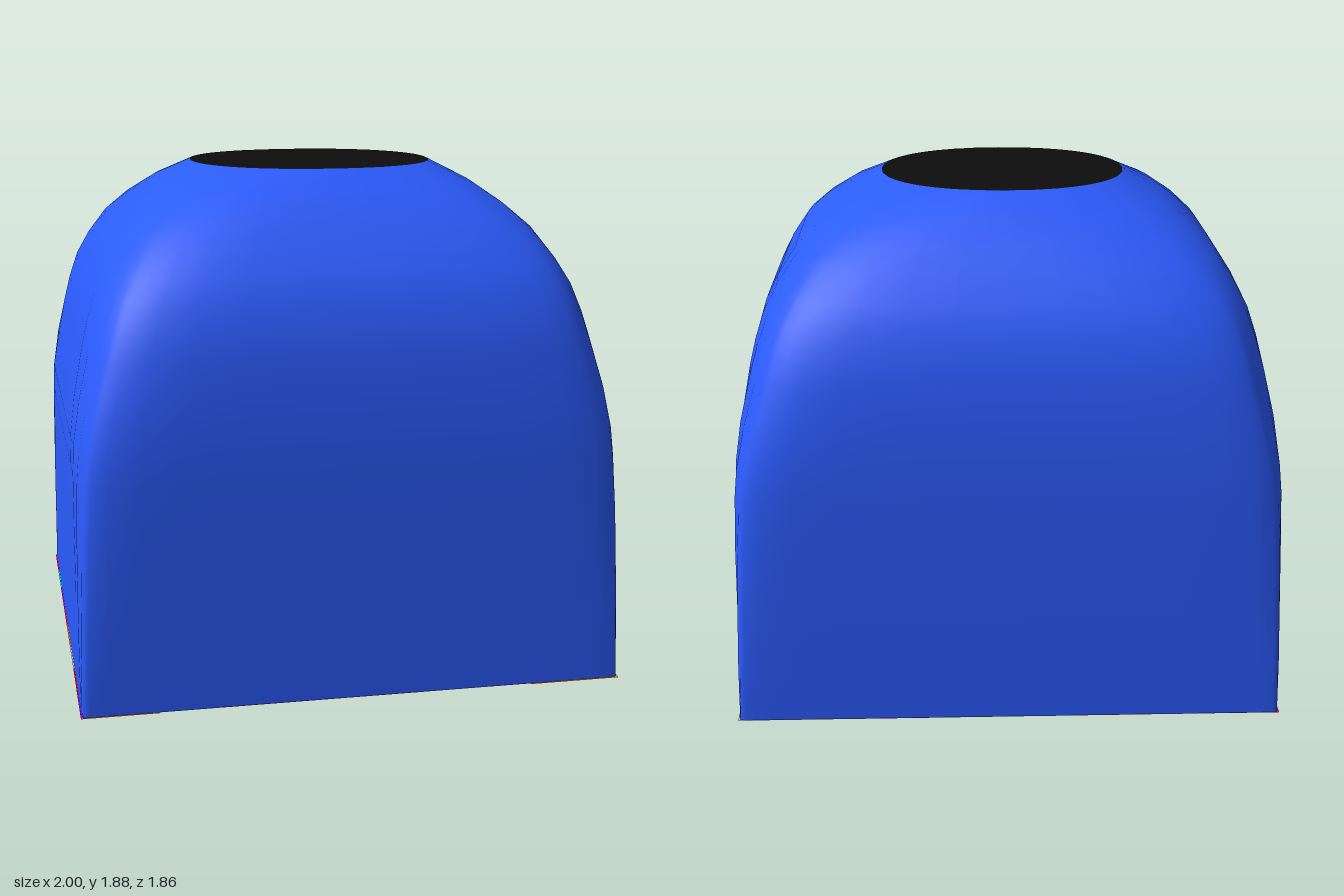
import * as THREE from 'three';

const material = (color, side = THREE.FrontSide) =>
  new THREE.MeshStandardMaterial({ color, side });

// Dome levels: height, half width, half depth, squareness (2 = ellipse)
const LEVELS = [
  [0.01, 0.995, 0.93, 200], [0.2, 0.995, 0.93, 70], [0.4, 0.994, 0.93, 40],
  [0.65, 0.993, 0.929, 25], [0.85, 0.992, 0.928, 17], [0.95, 0.988, 0.925, 14],
  [1.1, 0.97, 0.918, 10.5], [1.27, 0.94, 0.898, 7.8], [1.36, 0.92, 0.878, 7],
  [1.46, 0.89, 0.845, 6.3], [1.55, 0.845, 0.8, 5.7], [1.65, 0.78, 0.722, 5],
  [1.73, 0.7, 0.65, 4.1], [1.81, 0.595, 0.565, 3.1], [1.88, 0.465, 0.45, 2.15],
];

// Rounded-square cross-section, sampled more densely near the corners
function section([, w, d, n], steps = 14) {
  const points = [];
  for (let edge = 0; edge < 4; edge++) {
    for (let i = 0; i < steps; i++) {
      const t = Math.sin((i / steps - 0.5) * Math.PI);
      const [p, q] = [[1, t], [-t, 1], [-1, -t], [t, -1]][edge];
      const k = Math.pow(Math.abs(p) ** n + Math.abs(q) ** n, -1 / n);
      points.push(new THREE.Vector2(p * k * w, q * k * d));
    }
  }
  return points;
}

function domeGeometry() {
  const positions = [], index = [];
  const rings = LEVELS.map((level) => section(level));
  const count = rings[0].length;
  rings.forEach((ring, r) => ring.forEach((p, i) => {
    positions.push(p.x, LEVELS[r][0], p.y);
    if (r === rings.length - 1) return;
    const a = r * count + i, b = r * count + ((i + 1) % count);
    index.push(a, a + count, b, b, a + count, b + count);
  }));
  const geometry = new THREE.BufferGeometry();
  geometry.setAttribute('position', new THREE.Float32BufferAttribute(positions, 3));
  geometry.setIndex(index);
  geometry.computeVertexNormals();
  return geometry;
}

function roundedRect(Type, w, d, r) {
  const s = new Type(), x = w / 2, y = d / 2;
  s.absarc(x - r, y - r, r, 0, Math.PI / 2);
  s.absarc(r - x, y - r, r, Math.PI / 2, Math.PI);
  s.absarc(r - x, r - y, r, Math.PI, Math.PI * 1.5);
  s.absarc(x - r, r - y, r, Math.PI * 1.5, Math.PI * 2);
  s.closePath();
  return s;
}

function frameShape(w, d, r, border) {
  const s = roundedRect(THREE.Shape, w, d, r);
  s.holes.push(roundedRect(THREE.Path, w - 2 * border, d - 2 * border, r - border));
  return s;
}

export function createModel() {
  const model = new THREE.Group();
  model.name = 'domeRoom';
  const add = (parent, name, geometry, mat, x = 0, y = 0, z = 0) => {
    const mesh = new THREE.Mesh(geometry, mat);
    mesh.name = name;
    mesh.position.set(x, y, z);
    parent.add(mesh);
    return mesh;
  };

  // Blue shell and flat black cap closing its top
  add(model, 'domeShell', domeGeometry(), material(0x2b5cff));
  const top = LEVELS[LEVELS.length - 1];
  const cap = new THREE.ShapeGeometry(new THREE.Shape(section(top))).rotateX(-Math.PI / 2);
  add(model, 'topCap', cap, material(0x0d0d0d), 0, top[0], 0);

  // Chequered floor, rows from back to front, tiles from +x to -x
  const colors = {
    W: 0xcccccc, O: 0xff8000, P: 0xaa00ff, G: 0x00ff00,
    T: 0x00ffff, R: 0xff0000, C: 0xff0080,
  };
  const mats = {};
  for (const key in colors) mats[key] = material(colors[key], THREE.DoubleSide);
  const rows = [
    'WOPGTOWC', 'CGOWPGRT', 'OPCRWOGP', 'TRGWWROC',
    'GWPWWGPO', 'ROCTOPGW', 'CWRTRCTR', 'OCWRCRTP',
  ];
  const W = 2, D = 1.864;
  const floor = new THREE.Group();
  floor.name = 'floor';
  model.add(floor);
  const tile = new THREE.PlaneGeometry(W / 8, D / 8).rotateX(Math.PI / 2);
  rows.forEach((row, j) => [...row].forEach((key, i) => {
    add(floor, 'floorTile', tile, mats[key],
      W / 2 - (i + 0.5) * W / 8, 0.01, -D / 2 + (j + 0.5) * D / 8);
  }));

  // Rounded centre mat with a red border
  const down = (geometry) => geometry.rotateX(Math.PI / 2);
  add(floor, 'centreMat', down(new THREE.ShapeGeometry(roundedRect(THREE.Shape, 0.5, 0.46, 0.1))),
    mats.W, 0, 0.007, -0.04);
  add(floor, 'centreMatBorder', down(new THREE.ShapeGeometry(frameShape(0.57, 0.53, 0.13, 0.035))),
    mats.R, 0, 0.007, -0.04);

  // Quarter-round patches in the two front corners
  for (const [side, radius, start] of [[1, 0.34, Math.PI], [-1, 0.28, Math.PI * 1.5]]) {
    add(floor, 'cornerPatch', down(new THREE.CircleGeometry(radius, 16, start, Math.PI / 2)),
      mats.O, side * W / 2, 0.007, D / 2);
  }

  // Thin raised outline near the front edge
  const outline = new THREE.ExtrudeGeometry(frameShape(0.47, 0.35, 0.1, 0.008),
    { depth: 0.008, bevelEnabled: false });
  add(floor, 'floorOutline', down(outline), material(0xaaffff), -0.065, 0.008, 0.695);

  return model;
}
